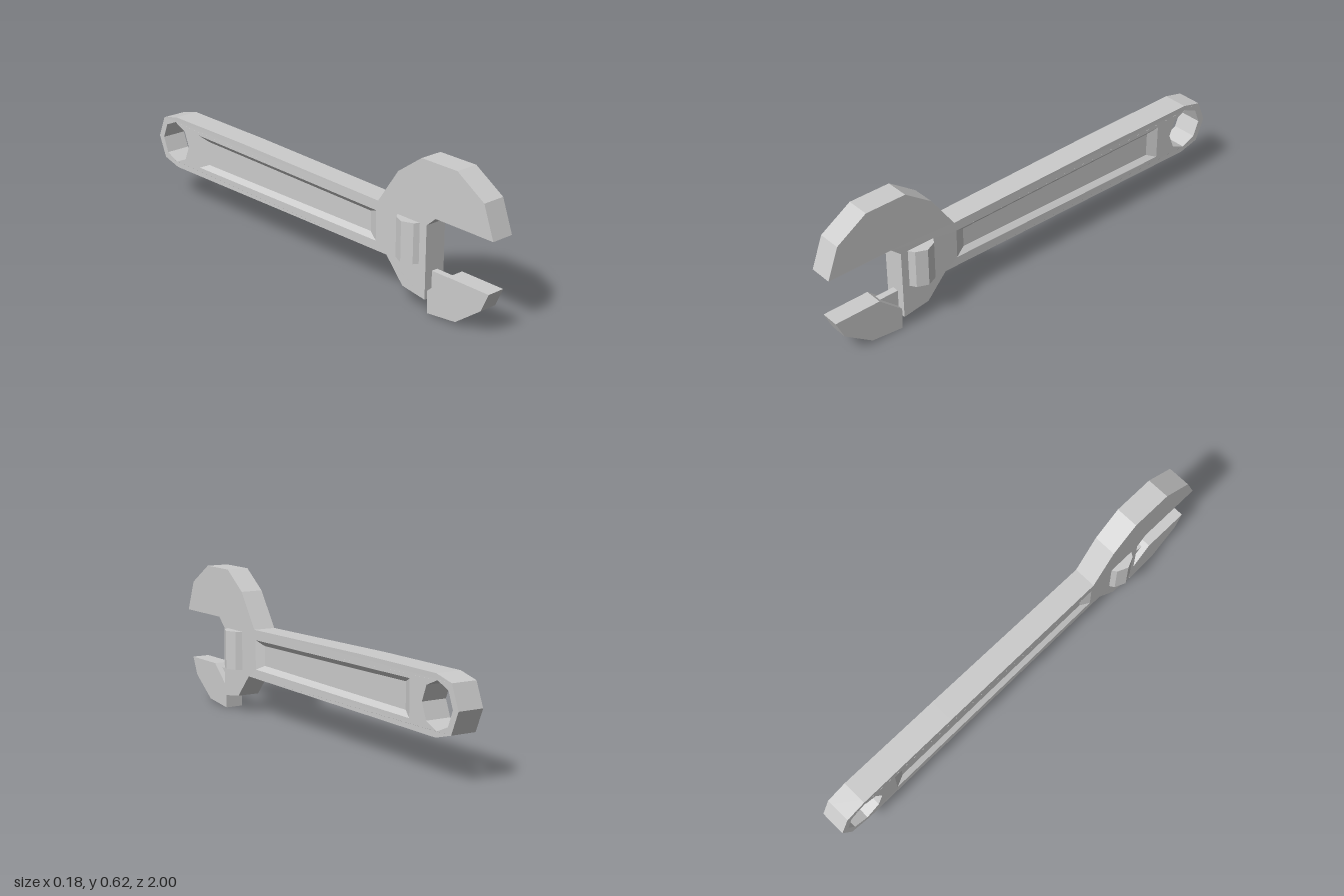
import * as THREE from 'three';

const material = new THREE.MeshStandardMaterial({ color: 0xcccccc, flatShading: true });
const MID = -0.0025; // sideways centre of the flat parts

// Profiles are [z, y] pairs, seen from the +x side.
const toPoints = (pts) => pts.map(([z, y]) => new THREE.Vector2(-z, y));

// Flat plate spanning x = -1..1; outline runs clockwise, holes anticlockwise.
function plate(profile, holes = [], steps = 1) {
  const shape = new THREE.Shape(toPoints(profile));
  holes.forEach((h) => shape.holes.push(new THREE.Path(toPoints(h))));
  const geo = new THREE.ExtrudeGeometry(shape, { depth: 2, steps, bevelEnabled: false });
  return geo.translate(0, 0, -1).rotateY(Math.PI / 2);
}

// Move every vertex by a rule, then refresh the normals.
function reshape(geo, rule) {
  const pos = geo.attributes.position;
  const v = new THREE.Vector3();
  for (let i = 0; i < pos.count; i++) {
    rule(v.fromBufferAttribute(pos, i));
    pos.setXYZ(i, v.x, v.y, v.z);
  }
  geo.computeVertexNormals();
  return geo;
}

function add(group, name, geo) {
  const mesh = new THREE.Mesh(geo, material);
  mesh.name = name;
  group.add(mesh);
}

export function createModel() {
  const group = new THREE.Group();
  group.name = 'adjustableWrench';

  // Half thickness grows slightly from the head to the handle's end
  const half = (z) => 0.0495 + 0.0055 * THREE.MathUtils.clamp((0.41 - z) / 1.28, 0, 1);
  const RECESS = 0.018;

  // Body: fixed jaw, handle and rounded end
  const outline = [
    [1, 0.403], [0.95, 0.535], [0.815, 0.62], [0.635, 0.62], [0.515, 0.535], [0.41, 0.384],
    [-0.4, 0.395], [-0.87, 0.395], [-0.96, 0.373], [-1, 0.278], [-0.96, 0.185], [-0.87, 0.161],
    [0.46, 0.175], [0.55, 0.075], [0.67, 0.058], [0.67, 0.363], [0.715, 0.403],
  ];
  const ring = [];
  for (let i = 0; i < 8; i++) {
    const a = (i * Math.PI) / 4;
    ring.push([-0.877 + 0.091 * Math.cos(a), 0.278 - 0.093 * Math.sin(a)]);
  }
  const panel = [[0.4, 0.214], [-0.71, 0.203], [-0.71, 0.352], [0.4, 0.341]];
  const shrink = ([z, y]) => [z - Math.sign(z) * 0.047, y - Math.sign(y - 0.278) * 0.021];

  // The inner layers of the panel opening are drawn in to slope its walls
  const body = reshape(plate(outline, [ring, panel], 3), (v) => {
    const inner = Math.abs(v.x) < 0.9;
    const inPanel = v.z < 0.405 && v.z > -0.72 && Math.abs(v.y - 0.278) < 0.08;
    if (inner && inPanel) [v.z, v.y] = shrink([v.z, v.y]);
    v.x = MID + Math.sign(v.x) * (half(v.z) - (inner ? RECESS : 0));
  });
  add(group, 'body', body);

  // Sunken floor of the handle panels on both sides
  const floor = reshape(plate(panel.map(shrink)), (v) => {
    v.x = MID + Math.sign(v.x) * (half(v.z) - RECESS);
  });
  add(group, 'handlePanelFloor', floor);

  // Movable lower jaw and the slider holding it
  const jaw = [
    [0.98, 0.185], [0.775, 0.185], [0.672, 0.093], [0.675, 0], [0.82, 0.0165], [0.945, 0.107],
  ];
  add(group, 'movableJaw', plate(jaw).scale(0.039, 1, 1).translate(-0.002, 0, 0));
  const slider = [[0.757, 0.168], [0.64, 0.168], [0.64, 0.083], [0.69, 0.083], [0.69, 0.107]];
  add(group, 'jawSlider', plate(slider).scale(0.014, 1, 1).translate(-0.002, 0, 0));

  // Adjusting wheel: upright faceted prism reaching out of both faces
  const side = [[0.045, 0.063], [0.072, 0.046], [0.092, 0], [0.072, -0.046], [0.045, -0.063]];
  const section = [...side, ...side.map(([x, z]) => [-x, -z])];
  const wheel = new THREE.ExtrudeGeometry(
    new THREE.Shape(section.map(([x, z]) => new THREE.Vector2(x, z))),
    { depth: 0.167, bevelEnabled: false },
  );
  add(group, 'adjustingWheel', wheel.rotateX(-Math.PI / 2).translate(0, 0.195, 0.576));

  return group;
}
